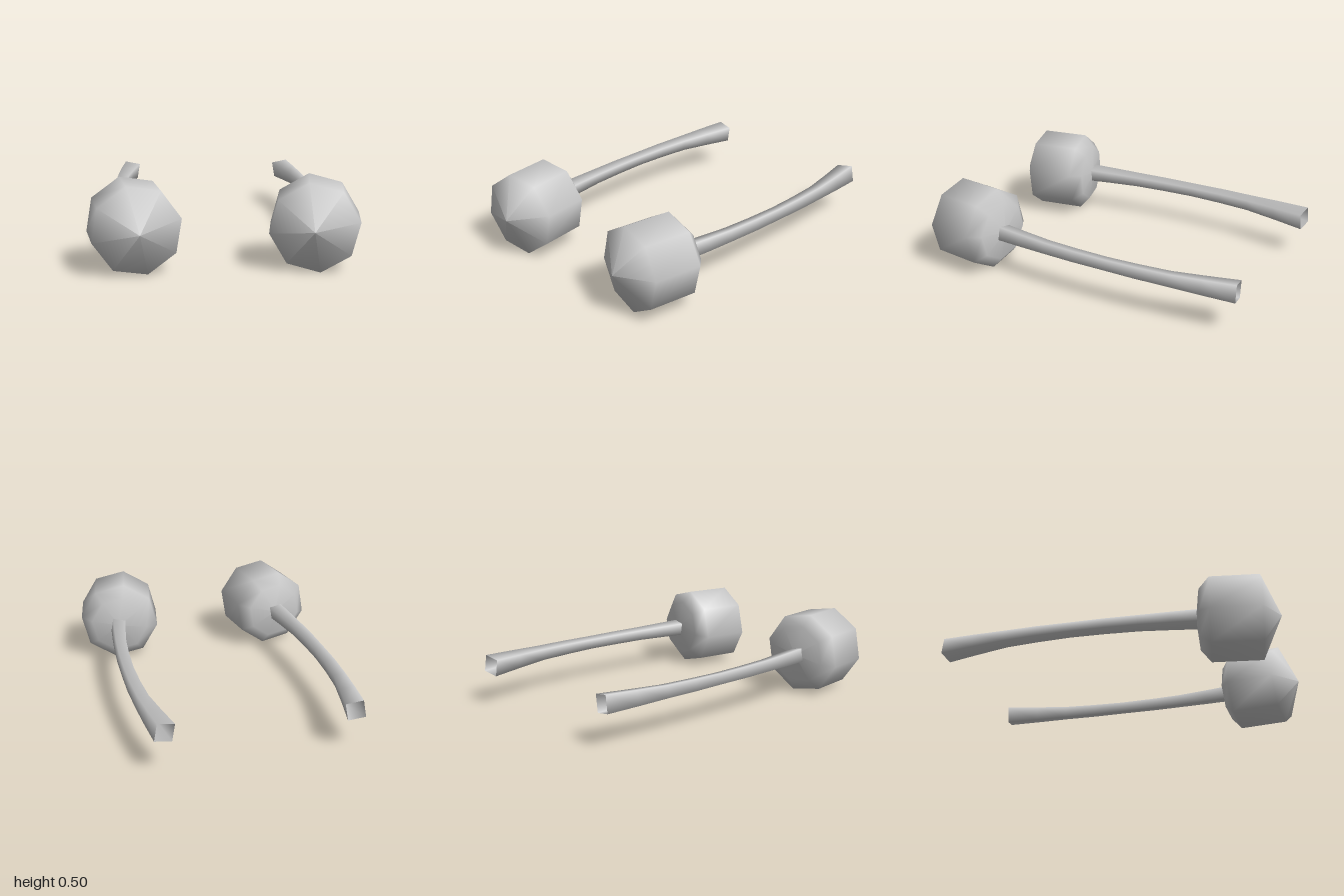
import * as THREE from 'three';

const rad = THREE.MathUtils.degToRad;
const material = new THREE.MeshStandardMaterial({ color: 0xcccccc, side: THREE.DoubleSide });

// Eight-sided ball with a pointed front and a chamfered back; axis along +z
function makeBall(roll) {
  const profile = [[0, -0.08], [0.18, -0.06], [0.25, 0], [0.25, 0.29], [0, 0.4]]
    .map(([r, h]) => new THREE.Vector2(r, h));
  return new THREE.LatheGeometry(profile, 8, rad(roll), Math.PI * 2).rotateX(Math.PI / 2);
}

// Open four-sided tube that follows a bowed path and flares at both ends
function makeStalk(side, roll) {
  const path = new THREE.CatmullRomCurve3([
    [0.533, 0.241, -0.992], [0.585, 0.245, -0.6], [0.598, 0.247, -0.2],
    [0.58, 0.248, 0.2], [0.538, 0.25, 0.55],
  ].map(([x, y, z]) => new THREE.Vector3(side * x, y, z)));
  const radii = [0.072, 0.05, 0.044, 0.047, 0.058];

  const geometry = new THREE.CylinderGeometry(1, 1, 1, 4, 8, true, rad(45 + roll)).rotateX(Math.PI / 2);
  const { position, normal } = geometry.attributes;
  const up = new THREE.Vector3(0, 1, 0);
  for (let i = 0; i < position.count; i++) {
    const t = THREE.MathUtils.clamp(position.getZ(i) + 0.5, 0, 1);
    const k = Math.min(Math.floor(t * 4), 3);
    const radius = THREE.MathUtils.lerp(radii[k], radii[k + 1], t * 4 - k);
    const across = new THREE.Vector3().crossVectors(up, path.getTangent(t)).normalize();
    const out = across.multiplyScalar(position.getX(i)).addScaledVector(up, position.getY(i));
    const p = path.getPoint(t).addScaledVector(out, radius);
    position.setXYZ(i, p.x, p.y, p.z);
    normal.setXYZ(i, out.x, out.y, out.z);
  }
  return geometry;
}

export function createModel() {
  const model = new THREE.Group();
  model.name = 'stalkedEyes';

  const sides = [
    { name: 'left', side: 1, ballRoll: 8, stalkRoll: 10 },
    { name: 'right', side: -1, ballRoll: 13, stalkRoll: -10 },
  ];
  for (const { name, side, ballRoll, stalkRoll } of sides) {
    const eye = new THREE.Group();
    eye.name = name + 'Eye';

    // Eyeball, turned slightly inward
    const ball = new THREE.Mesh(makeBall(ballRoll), material);
    ball.name = name + 'Eyeball';
    ball.position.set(side * 0.522, 0.252, 0.6);
    ball.rotation.y = -side * 0.15;

    // Stalk running back from the eyeball
    const stalk = new THREE.Mesh(makeStalk(side, stalkRoll), material);
    stalk.name = name + 'Stalk';

    eye.add(ball, stalk);
    model.add(eye);
  }
  return model;
}
